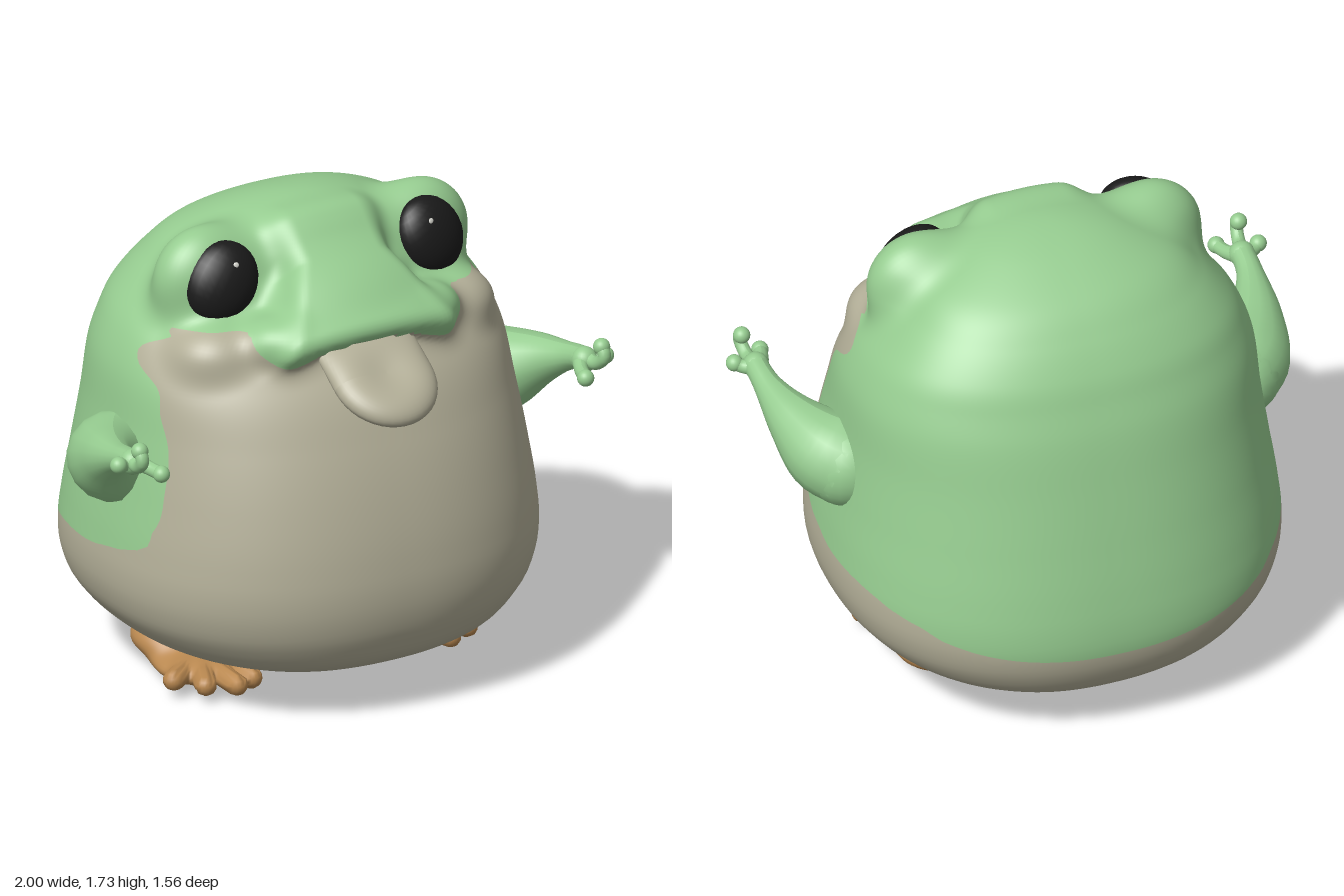
import * as THREE from 'three';
import { mergeGeometries } from 'three/addons/utils/BufferGeometryUtils.js';

const clamp = THREE.MathUtils.clamp;

// Smooth interpolation of column c in rows keyed by column 0
function sample(rows, x, c) {
  const n = rows.length;
  if (x <= rows[0][0]) return rows[0][c];
  if (x >= rows[n - 1][0]) return rows[n - 1][c];
  let i = 0;
  while (rows[i + 1][0] < x) i++;
  const gap = k => rows[k + 1][0] - rows[k][0];
  const slope = k => (rows[k + 1][c] - rows[k][c]) / gap(k);
  const tangent = k => {
    if (k === 0) return slope(0);
    if (k === n - 1) return slope(n - 2);
    return (slope(k - 1) * gap(k) + slope(k) * gap(k - 1)) / (gap(k) + gap(k - 1));
  };
  const h = gap(i), t = (x - rows[i][0]) / h, t2 = t * t, t3 = t2 * t;
  return (2 * t3 - 3 * t2 + 1) * rows[i][c] + (t3 - 2 * t2 + t) * h * tangent(i)
    + (3 * t2 - 2 * t3) * rows[i + 1][c] + (t3 - t2) * h * tangent(i + 1);
}

// Torso sections: height, half width, front z, back z
const sections = [
  [0.1, 0.37, 0.42, -0.43], [0.14, 0.51, 0.55, -0.59], [0.2, 0.645, 0.67, -0.685],
  [0.3, 0.755, 0.743, -0.752], [0.4, 0.8, 0.772, -0.776], [0.5, 0.811, 0.778, -0.772],
  [0.6, 0.803, 0.768, -0.755], [0.8, 0.775, 0.725, -0.71], [1.0, 0.747, 0.655, -0.66],
  [1.2, 0.722, 0.55, -0.605], [1.3, 0.685, 0.46, -0.565], [1.4, 0.62, 0.33, -0.52],
  [1.5, 0.535, 0.27, -0.45], [1.6, 0.43, 0.23, -0.35], [1.68, 0.27, 0.185, -0.2],
];
// Converted to: height, squared depth, depth / width, centre z
const torso = [[0, -0.8, 1.14, 0], [0.08, 0, 1.14, 0],
  ...sections.map(([y, w, f, b]) => [y, ((f - b) / 2) ** 2, (f - b) / 2 / w, (f + b) / 2]),
  [1.73, 0, 0.7, 0.02], [1.9, -0.13, 0.7, 0.02]];

// Front limit of the green skin at each height
const skinLine = [[0.3, -0.95], [0.38, -0.79], [0.45, -0.6], [0.52, -0.38], [0.545, -0.15],
  [0.56, 0], [0.6, 0.2], [0.7, 0.3], [0.85, 0.32], [1, 0.3], [1.1, 0.25], [1.2, 0.2],
  [1.25, 0.1], [1.3, 0.08], [1.35, 0.17], [1.39, 0.25], [1.42, 1]];

function torsoDistance(x, y, z) {
  const f = (a, b, c) => {
    const u = Math.abs(a * sample(torso, b, 2)), w = Math.abs(c - sample(torso, b, 3));
    return (u ** 2.3 + w ** 2.3) ** (2 / 2.3) - sample(torso, b, 1);
  };
  const e = 0.004, v = f(x, y, z);
  return v / (Math.hypot(f(x + e, y, z) - v, f(x, y + e, z) - v, f(x, y, z + e) - v) / e + 0.05);
}
function ellipsoid(x, y, z, c, r) {
  const a = (x - c[0]) / r[0], b = (y - c[1]) / r[1], d = (z - c[2]) / r[2];
  const k = Math.hypot(a, b, d);
  return k * (k - 1) / (Math.hypot(a / r[0], b / r[1], d / r[2]) || 1);
}
function capsule(x, y, z, a, b, r) {
  const d = b.map((v, i) => v - a[i]), p = [x - a[0], y - a[1], z - a[2]];
  const t = clamp((p[0] * d[0] + p[1] * d[1] + p[2] * d[2]) / (d[0] ** 2 + d[1] ** 2 + d[2] ** 2), 0, 1);
  return Math.hypot(...p.map((v, i) => v - d[i] * t)) - r;
}
function blend(a, b, k) {
  const h = Math.max(k - Math.abs(a - b), 0) / k;
  return Math.min(a, b) - h * h * k / 4;
}
// Sloping rounded slab that widens to the lip, with drooping corners
function snout(x, y, z) {
  const ax = Math.abs(x), u = 0.79 * z - 0.61 * y, v = 0.61 * z + 0.79 * y + 0.4 * x * x;
  const half = clamp(0.33 + (u + 0.42) * 0.5, 0.18, 0.34), round = 0.05;
  const q = [ax - half + round, Math.abs(v - 1.41), Math.abs(u + 0.66) - 0.265 + round];
  const slab = Math.hypot(...q.map(k => Math.max(k, 0))) - round;
  return blend(slab, ellipsoid(ax, y, z, [0.3, 1.36, 0.385], [0.1, 0.075, 0.1]), 0.08);
}
function bodyDistance(x, y, z) {
  let d = torsoDistance(x, y, z);
  if (y < 1 || d > 0.4) return d;
  const ax = Math.abs(x);
  d = blend(d, ellipsoid(ax, y, z, [0.47, 1.3, 0.25], [0.14, 0.1, 0.13]), 0.08); // cheek
  d = blend(d, ellipsoid(ax, y, z, [0.425, 1.508, 0.085], [0.188, 0.188, 0.13]), 0.09); // eye mound
  d = blend(d, ellipsoid(ax, y, z, [0, 1.43, 0.24], [0.27, 0.13, 0.2]), 0.05); // muzzle core
  return blend(d, snout(x, y, z), 0.09);
}
// Heel, sole and splayed toes
const toes = [[0.345, 0.055, 0.275], [0.425, 0.06, 0.315], [0.52, 0.06, 0.265], [0.597, 0.065, 0.18]];
function footDistance(x, y, z) {
  const ax = Math.abs(x);
  let d = ellipsoid(ax, y, z, [0.42, 0.1, -0.11], [0.165, 0.083, 0.15]);
  d = blend(d, ellipsoid(ax, y, z, [0.435, 0.055, 0.07], [0.155, 0.052, 0.165]), 0.08);
  for (const t of toes) {
    d = blend(d, capsule(ax, y, z, [0.43, 0.06, 0.03], t, 0.03), 0.03);
    d = blend(d, ellipsoid(ax, y, z, t, [0.038, 0.038, 0.038]), 0.02);
  }
  return d;
}

// Closed skin found along rays from a centre
function raySkin(distance, [cx, cy, cz], reach, nT, nP) {
  const pos = [], index = [];
  for (let j = 0; j <= nP; j++) for (let i = 0; i < nT; i++) {
    const p = j / nP * Math.PI, t = i / nT * Math.PI * 2;
    const dx = Math.sin(p) * Math.sin(t), dy = Math.cos(p), dz = Math.sin(p) * Math.cos(t);
    const at = r => distance(cx + dx * r, cy + dy * r, cz + dz * r);
    let r = reach, d, step = 0;
    while ((d = at(r)) > 0 && r > 0.02) { step = clamp(d * 0.4, 0.006, 0.04); r -= step; }
    let lo = r, hi = r + step;
    for (let k = 0; k < 8; k++) { const m = (lo + hi) / 2; if (at(m) > 0) hi = m; else lo = m; }
    pos.push(cx + dx * lo, cy + dy * lo, cz + dz * lo);
    if (j < nP) {
      const a = j * nT + i, c = j * nT + (i + 1) % nT;
      index.push(a, a + nT, c, c, a + nT, c + nT);
    }
  }
  const g = new THREE.BufferGeometry();
  g.setAttribute('position', new THREE.Float32BufferAttribute(pos, 3));
  g.setIndex(index);
  g.computeVertexNormals();
  return g;
}

// Body skin cut along the colour line into green and belly parts
function buildBody() {
  const g = raySkin(bodyDistance, [0, 1.15, 0], 1.3, 220, 140), index = g.index.array;
  const pos = g.attributes.position.array, nor = g.attributes.normal.array, verts = [];
  for (let i = 0; i < pos.length; i += 3) {
    const [x, y, z] = pos.slice(i, i + 3);
    const f = Math.max(sample(skinLine, y, 1) - z, 0.012 - snout(x, y, z));
    verts.push([x, y, z, nor[i], nor[i + 1], nor[i + 2], clamp(f, -0.1, 0.1)]);
  }
  return [1, -1].map(sign => {
    const P = [], N = [];
    for (let i = 0; i < index.length; i += 3) {
      const tri = [0, 1, 2].map(k => verts[index[i + k]]), poly = [];
      tri.forEach((a, k) => {
        const b = tri[(k + 1) % 3], fa = a[6] * sign, fb = b[6] * sign;
        if (fa >= 0) poly.push(a);
        if ((fa >= 0) !== (fb >= 0)) poly.push(a.map((v, q) => v + (b[q] - v) * fa / (fa - fb)));
      });
      for (let k = 1; k + 1 < poly.length; k++) for (const v of [poly[0], poly[k], poly[k + 1]]) {
        P.push(v[0], v[1], v[2]);
        N.push(v[3], v[4], v[5]);
      }
    }
    const part = new THREE.BufferGeometry();
    part.setAttribute('position', new THREE.Float32BufferAttribute(P, 3));
    part.setAttribute('normal', new THREE.Float32BufferAttribute(N, 3));
    return part;
  });
}

const ball = (c, r) => new THREE.SphereGeometry(1, 24, 16).scale(...r).translate(...c);

// Tapered tube with round ends through points [x, y, z, radius]
function limb(pts, side, tip) {
  const curve = new THREE.CatmullRomCurve3(pts.map(p => new THREE.Vector3(p[0] * side, p[1], p[2])));
  const n = 20, m = 16, g = new THREE.TubeGeometry(curve, n, 1, m), p = g.attributes.position;
  const radii = pts.map((q, i) => [i / (pts.length - 1), q[3]]), v = new THREE.Vector3();
  for (let i = 0; i <= n; i++) {
    const u = curve.getUtoTmapping(i / n), c = curve.getPoint(u), r = sample(radii, u, 1);
    for (let j = 0; j <= m; j++) {
      const k = i * (m + 1) + j;
      v.fromBufferAttribute(p, k).sub(c).multiplyScalar(r).add(c);
      p.setXYZ(k, v.x, v.y, v.z);
    }
  }
  g.computeVertexNormals();
  const a = pts[0], b = pts.at(-1);
  return mergeGeometries([g, ball([a[0] * side, a[1], a[2]], [a[3], a[3], a[3]]),
    ball([b[0] * side, b[1], b[2]], [tip, tip, tip])]);
}

export function createModel() {
  const model = new THREE.Group();
  const mat = (name, color) => Object.assign(new THREE.MeshStandardMaterial({ color }), { name });
  const green = mat('green skin', 0x96cc90), beige = mat('beige belly', 0xb3af98);
  const orange = mat('orange feet', 0xb98850), black = mat('black eye', 0x1a1a1a);
  const white = mat('eye glint', 0xd8d8d0);
  const add = (name, geometry, material, parent = model) => {
    const mesh = new THREE.Mesh(geometry, material);
    mesh.name = name;
    parent.add(mesh);
  };

  const [back, belly] = buildBody();
  add('greenBack', back, green);
  add('belly', belly, beige);

  // Tongue: thick rounded slab, full width at its root, hollow on top
  const tongue = new THREE.SphereGeometry(1, 40, 28), tp = tongue.attributes.position;
  for (let i = 0; i < tp.count; i++) {
    const x = tp.getX(i), y = tp.getY(i), z = tp.getZ(i);
    const wide = z < 0 ? 1 / Math.max(Math.sqrt(1 - z * z), 0.3) : 1;
    const dent = y > 0 ? 0.5 * Math.exp(-(x * x + z * z) * 3) : 0;
    tp.setXYZ(i, x * wide * 0.192, (y - dent) * 0.08, z * 0.2);
  }
  tongue.computeVertexNormals();
  tongue.rotateX(0.55).translate(0, 1.222, 0.595);
  add('tongue', tongue, beige);

  for (const s of [1, -1]) {
    const side = s > 0 ? 'left' : 'right';

    // Eye with a small glint
    const eye = new THREE.Group();
    eye.name = side + 'Eye';
    eye.position.set(0.415 * s, 1.528, 0.188);
    eye.rotation.set(-0.25, 0.2 * s, 0.6 * s);
    add('eyeball', ball([0, 0, 0], [0.13, 0.146, 0.082]), black, eye);
    add('glint', ball([0, 0.073, 0.07], [0.01, 0.01, 0.004]), white, eye);
    model.add(eye);

    // Arm and three fingers
    add(side + 'Arm', limb([[0.72, 0.87, 0.008, 0.163], [0.785, 0.9, 0.06, 0.153], [0.855, 0.963, 0.18, 0.096],
      [0.89, 1.01, 0.3, 0.055], [0.9, 1.035, 0.38, 0.043], [0.9, 1.04, 0.42, 0.046]], s, 0.046), green);
    const fingers = [
      [[0.91, 1.04, 0.41, 0.03], [0.945, 1.04, 0.43, 0.025], [0.97, 1.05, 0.445, 0.025]],
      [[0.905, 1.05, 0.41, 0.03], [0.912, 1.045, 0.48, 0.024], [0.92, 1.085, 0.525, 0.023], [0.92, 1.115, 0.505, 0.025]],
      [[0.89, 1.04, 0.41, 0.03], [0.86, 1.025, 0.47, 0.025], [0.845, 1.02, 0.525, 0.025]],
    ];
    add(side + 'Fingers', mergeGeometries(fingers.map(f => limb(f, s, 0.03))), green);

    add(side + 'Foot', raySkin(footDistance, [0.43 * s, 0.065, 0.03], 0.4, 160, 56), orange);
  }
  return model;
}
